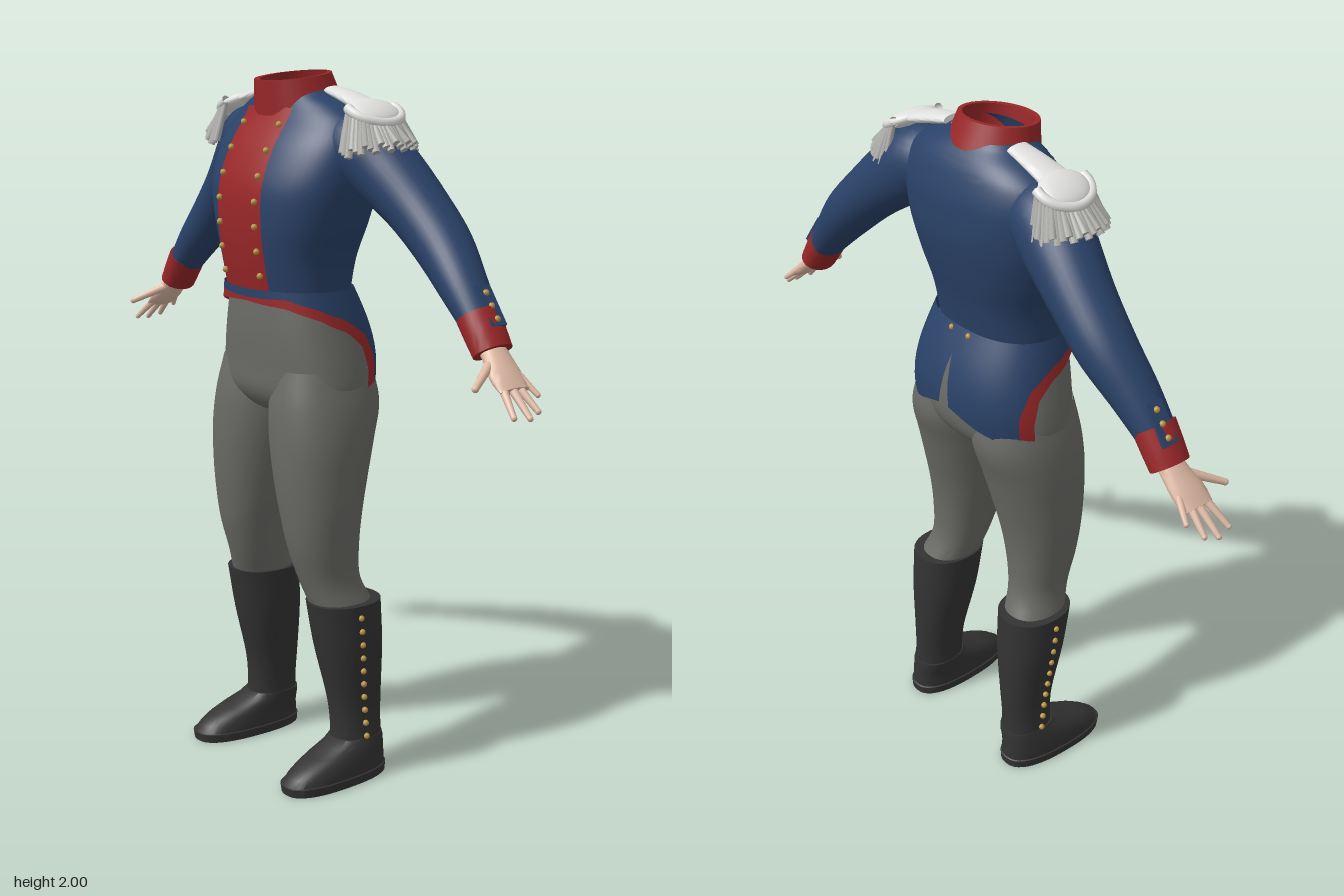
import * as THREE from 'three';
import { toCreasedNormals } from 'three/addons/utils/BufferGeometryUtils.js';

const mat = (name, color) => new THREE.MeshStandardMaterial({ name, color, side: THREE.DoubleSide });
const V = (x, y, z) => new THREE.Vector3(x, y, z);
const lerp = THREE.MathUtils.lerp;

// Signed power, gives rounded-box cross-sections
const sp = (v, e) => Math.sign(v) * Math.abs(v) ** e;

// Smoothly resample rows of numbers
function smooth(rows, n) {
  const w = rows[0].length;
  const curve = new THREE.CubicInterpolant(Float32Array.from(rows.keys()), Float32Array.from(rows.flat()), w);
  return Array.from({ length: n + 1 }, (_, i) => Array.from(curve.evaluate((i / n) * (rows.length - 1))));
}

// Rows of points joined into a surface, optionally closed around and capped
function loft(rings, { closed = true, caps = false, crease = 0.9 } = {}) {
  const n = rings[0].length, pts = rings.flat(), index = [];
  for (let i = 0; i < rings.length - 1; i++) {
    for (let j = 0; j < (closed ? n : n - 1); j++) {
      const k = (j + 1) % n, a = i * n + j, b = i * n + k;
      index.push(a, a + n, b, b, a + n, b + n);
    }
  }
  if (caps) [0, rings.length - 1].forEach((r) => {
    const c = pts.length;
    pts.push(rings[r].reduce((s, p) => s.add(p), V(0, 0, 0)).divideScalar(n));
    for (let j = 0; j < n; j++) {
      const a = r * n + j, b = r * n + ((j + 1) % n);
      index.push(c, r ? b : a, r ? a : b);
    }
  });
  const g = new THREE.BufferGeometry().setFromPoints(pts);
  g.setIndex(index);
  return toCreasedNormals(g, crease);
}

// Horizontal ring from [y, xMin, xMax, zFront, zBack]
const ring = ([y, x0, x1, zf, zb], e = 0.85, n = 40, toeOut = 0) => Array.from({ length: n }, (_, j) => {
  const a = (j / n) * Math.PI * 2;
  const z = (zf + zb) / 2 + ((zf - zb) / 2) * sp(Math.sin(a), e);
  return V((x0 + x1) / 2 + ((x1 - x0) / 2) * sp(Math.cos(a), e) + toeOut * z, y, z);
});

// Limb from [x, y, z, radius across, radius in z]
function limb(rows, steps, n = 24) {
  const s = smooth(rows, steps);
  return loft(s.map(([x, y, z, rn, rz], i) => {
    const p = s[Math.max(0, i - 1)], q = s[Math.min(s.length - 1, i + 1)];
    const t = new THREE.Vector2(q[0] - p[0], q[1] - p[1]).normalize();
    return Array.from({ length: n }, (_, j) => {
      const a = (j / n) * Math.PI * 2, c = Math.cos(a) * rn;
      return V(x + t.y * c, y - t.x * c, z + Math.sin(a) * rz);
    });
  }), { caps: true });
}

// Tapered rod between two points
function rod(a, b, ra, rb, sides = 8) {
  const d = b.clone().sub(a);
  const g = new THREE.CylinderGeometry(rb, ra, d.length(), sides);
  g.applyQuaternion(new THREE.Quaternion().setFromUnitVectors(V(0, 1, 0), d.clone().normalize()));
  return g.translate(...a.clone().add(b).multiplyScalar(0.5).toArray());
}

// Torso profile: y, half width, front z, back z
const torso = smooth([
  [1.395, 0.2, 0.155, -0.12], [1.5, 0.213, 0.175, -0.14], [1.6, 0.248, 0.184, -0.165],
  [1.7, 0.275, 0.178, -0.183], [1.8, 0.28, 0.14, -0.183], [1.87, 0.255, 0.095, -0.165],
  [1.91, 0.205, 0.075, -0.145], [1.94, 0.14, 0.065, -0.12], [1.955, 0.115, 0.06, -0.11]], 40);

// Front surface of the torso
function chestZ(x, y) {
  const i = Math.max(1, torso.findIndex((r) => r[0] >= y)), p = torso[i - 1], q = torso[i];
  const [hw, f, b] = [1, 2, 3].map((c) => lerp(p[c], q[c], (y - p[0]) / (q[0] - p[0])));
  return (f + b) / 2 + ((f - b) / 2) * (1 - Math.min(1, Math.abs(x) / hw) ** (2 / 0.85)) ** 0.425;
}

// Skirt surface of the coat: angle in degrees (90 front, -90 back) and height
function skirt(deg, y) {
  const a = THREE.MathUtils.degToRad(deg), k = (1.42 - y) / 0.28;
  const hw = 0.209 + 0.045 * Math.sin(Math.min(1, k) * 1.57), zf = 0.167;
  const zb = -0.132 - 0.066 * Math.sin(Math.min(1, k) * 2.1);
  return V(hw * sp(Math.cos(a), 0.85), y, (zf + zb) / 2 + ((zf - zb) / 2) * sp(Math.sin(a), 0.85));
}

// Subdivide a polyline of pairs
const divide = (pts, m) => pts.flatMap((p, i) => i === pts.length - 1 ? [p]
  : Array.from({ length: m }, (_, k) => p.map((v, c) => lerp(v, pts[i + 1][c], k / m))));

export function createModel() {
  const blue = mat('blue cloth', 0x2a4268), red = mat('red cloth', 0x9a2729);
  const grey = mat('grey trousers', 0x6a6a66), black = mat('black leather', 0x333333);
  const white = mat('white braid', 0xe0e0de), silver = mat('silver fringe', 0xb2b2ae);
  const skin = mat('skin', 0xe0bba6), gold = mat('gold buttons', 0xb8923f);

  const model = new THREE.Group();
  model.name = 'uniform';
  const add = (parent, name, geo, material) => {
    const m = new THREE.Mesh(geo, material);
    m.name = name;
    parent.add(m);
    return m;
  };
  const buttonGeo = new THREE.SphereGeometry(0.009, 10, 8);
  const button = (parent, name, x, y, z) => add(parent, name, buttonGeo, gold).position.set(x, y, z);

  // Coat body
  add(model, 'coatBody', loft(torso.map(([y, w, f, b]) => ring([y, -w, w, f, b], 0.85, 56))), blue);

  // Red chest panel with two button rows
  const panel = Array.from({ length: 25 }, (_, i) => {
    const y = 1.405 + (i / 24) * 0.5;
    return Array.from({ length: 13 }, (_, j) => {
      const x = 0.102 - (j / 12) * 0.204;
      return V(x, y, chestZ(x, y) + 0.007);
    });
  });
  add(model, 'chestPanel', loft(panel, { closed: false }), red);
  for (const x of [-0.083, 0.083]) {
    for (let i = 0; i < 7; i++) {
      const y = 1.46 + i * 0.067;
      button(model, 'chestButton', x, y, chestZ(x, y) + 0.011);
    }
  }

  // Standing collar, higher at the back
  const collarRing = (rx, zf, zb, yf, yb) => Array.from({ length: 40 }, (_, j) => {
    const a = (j / 40) * Math.PI * 2, s = Math.sin(a);
    return V(rx * Math.cos(a), lerp(yb, yf, (s + 1) / 2), (zf + zb) / 2 + ((zf - zb) / 2) * s);
  });
  add(model, 'collar', loft([
    collarRing(0.134, 0.098, -0.13, 1.882, 1.93), collarRing(0.11, 0.105, -0.102, 1.975, 2),
    collarRing(0.097, 0.09, -0.09, 1.975, 2), collarRing(0.112, 0.08, -0.115, 1.9, 1.93)]), red);

  // Trouser seat
  add(model, 'trouserSeat', loft(smooth([
    [1.05, -0.13, 0.13, 0.05, -0.08], [1.08, -0.215, 0.215, 0.11, -0.14], [1.13, -0.25, 0.25, 0.145, -0.168],
    [1.2, -0.245, 0.245, 0.15, -0.17], [1.3, -0.222, 0.222, 0.153, -0.15],
    [1.42, -0.19, 0.19, 0.148, -0.112]], 24).map((r) => ring(r, 0.85, 48)), { caps: true }), grey);

  const side = new THREE.Group();
  side.name = 'leftSide';

  // Trouser leg
  add(side, 'trouserLeg', loft(smooth([
    [0.52, 0.118, 0.272, 0.064, -0.122], [0.6, 0.1, 0.252, 0.092, -0.088], [0.7, 0.077, 0.26, 0.122, -0.085],
    [0.8, 0.052, 0.27, 0.138, -0.096], [0.9, 0.03, 0.274, 0.149, -0.118], [1, 0.01, 0.275, 0.153, -0.143],
    [1.1, 0, 0.264, 0.148, -0.17], [1.2, 0.01, 0.238, 0.13, -0.155]], 30).map((r) => ring(r, 0.9)),
  { caps: true }), grey);

  // Boot shaft, foot and outer buttons
  add(side, 'bootShaft', loft(smooth([
    [0.095, 0.152, 0.276, 0.008, -0.149], [0.17, 0.15, 0.27, 0.008, -0.147], [0.25, 0.14, 0.272, 0.018, -0.149],
    [0.4, 0.115, 0.287, 0.053, -0.149], [0.535, 0.107, 0.29, 0.078, -0.142]], 20).map((r) => ring(r, 0.9)),
  { caps: true }), black);
  add(side, 'bootFoot', loft([
    [0, 0.15, 0.298, 0.192, -0.158], [0.025, 0.148, 0.3, 0.196, -0.16], [0.027, 0.152, 0.296, 0.19, -0.156],
    [0.045, 0.153, 0.295, 0.172, -0.155], [0.065, 0.154, 0.292, 0.14, -0.153], [0.085, 0.153, 0.288, 0.092, -0.152],
    [0.105, 0.152, 0.282, 0.035, -0.152], [0.122, 0.152, 0.277, 0.01, -0.149]]
    .map((r) => ring(r, 0.8, 40, 0.03)), { caps: true, crease: 0.7 }), black);
  for (let i = 0; i < 10; i++) {
    const t = i / 9;
    button(side, 'bootButton', lerp(0.275, 0.29, Math.min(1, Math.max(0, t * 1.8 - 0.5))),
      lerp(0.13, 0.5, t), lerp(-0.063, -0.027, t));
  }

  // Coat tail with slit at the back, and its red edge
  const edge = [[90, 1.395], [50, 1.4], [20, 1.375], [0, 1.345], [-20, 1.295], [-30, 1.22], [-31, 1.14]];
  const outer = [[90, 1.385], [50, 1.375], [20, 1.345], [0, 1.31], [-12, 1.265], [-17, 1.2], [-18, 1.14]];
  const hem = divide([...edge, [-50, 1.145], [-66, 1.165], [-80, 1.19], [-87, 1.2], [-90, 1.35]], 4);
  add(side, 'coatTail', loft(Array.from({ length: 11 }, (_, i) =>
    hem.map(([a, y]) => skirt(a, lerp(y, 1.42, i / 10))).reverse()), { closed: false }), blue);
  const inner = divide(edge, 4), outside = divide(outer, 4);
  add(side, 'tailTrim', loft(Array.from({ length: 4 }, (_, i) => outside.map(([a, y], j) =>
    skirt(lerp(a, inner[j][0], i / 3), lerp(y, inner[j][1], i / 3))).reverse()), { closed: false }), red);
  button(side, 'tailButton', 0.035, 1.405, -0.135);

  // Sleeve, cuff and buttoned cuff flap
  add(side, 'sleeve', limb([
    [0.16, 1.8, -0.04, 0.085, 0.09], [0.25, 1.797, -0.05, 0.105, 0.105], [0.33, 1.74, -0.07, 0.096, 0.098],
    [0.43, 1.655, -0.09, 0.082, 0.088], [0.527, 1.565, -0.098, 0.074, 0.08], [0.62, 1.472, -0.088, 0.06, 0.067],
    [0.705, 1.378, -0.08, 0.043, 0.053]], 28, 32), blue);
  add(side, 'cuff', limb([[0.68, 1.412, -0.08, 0.051, 0.06], [0.71, 1.37, -0.08, 0.049, 0.059],
    [0.74, 1.327, -0.08, 0.045, 0.057]], 4, 32), red);
  const flap = add(side, 'cuffFlap', new THREE.BoxGeometry(0.115, 0.022, 0.05), blue);
  flap.position.set(0.709, 1.435, -0.09);
  flap.rotation.z = -0.93;
  for (let i = 0; i < 3; i++) button(side, 'cuffButton', 0.696 + i * 0.022, 1.47 - i * 0.03, -0.092);

  // Hand with spread fingers
  add(side, 'palm', limb([[0.725, 1.345, -0.08, 0.03, 0.036], [0.76, 1.312, -0.078, 0.025, 0.042],
    [0.8, 1.275, -0.072, 0.021, 0.052], [0.835, 1.246, -0.07, 0.013, 0.048]], 8, 20), skin);
  const fingers = [
    [V(0.8, 1.28, -0.108), V(0.853, 1.232, -0.13), 0.011], [V(0.815, 1.262, -0.088), V(0.887, 1.2, -0.1), 0.012],
    [V(0.82, 1.258, -0.066), V(0.9, 1.19, -0.062), 0.012], [V(0.815, 1.262, -0.042), V(0.89, 1.195, -0.017), 0.012],
    [V(0.765, 1.305, -0.048), V(0.815, 1.262, 0.043), 0.014]];
  for (const [a, b, r] of fingers) {
    add(side, 'finger', rod(a, b, r, r * 0.65, 10), skin);
    add(side, 'fingertip', new THREE.SphereGeometry(r * 0.68, 10, 8).translate(b.x, b.y, b.z), skin);
  }

  // Epaulette: strap, pad, edging and fringe
  add(side, 'epauletteStrap', limb([[0.125, 1.95, -0.045, 0.012, 0.034], [0.2, 1.933, -0.045, 0.016, 0.042],
    [0.29, 1.908, -0.045, 0.016, 0.052]], 8, 20), white);
  const pad = add(side, 'epaulettePad', new THREE.SphereGeometry(1, 24, 14), white);
  pad.scale.set(0.06, 0.024, 0.075);
  pad.position.set(0.302, 1.9, -0.045);
  pad.rotation.z = -0.45;
  const arc = Array.from({ length: 13 }, (_, i) => {
    const a = (i / 12 - 0.5) * 3.5, c = Math.cos(a);
    return V(0.295 + 0.062 * c, 1.905 - 0.032 * c, -0.045 + 0.077 * Math.sin(a));
  });
  add(side, 'epauletteEdging', new THREE.TubeGeometry(new THREE.CatmullRomCurve3(arc), 30, 0.014, 8), white);
  for (let i = 0; i < 27; i++) {
    const a = (i / 26 - 0.5) * 3.4, c = Math.cos(a), s = Math.sin(a), drop = (i % 3) * 0.009;
    add(side, 'fringeStrand', rod(V(0.295 + 0.06 * c, 1.9 - 0.03 * c, -0.045 + 0.077 * s),
      V(0.31 + 0.1 * c, 1.782 + 0.025 * c + drop, -0.045 + 0.104 * s), 0.008, 0.011, 6), silver);
  }

  // Other side by mirroring
  const other = side.clone();
  other.name = 'rightSide';
  other.scale.x = -1;
  model.add(side, other);
  return model;
}
